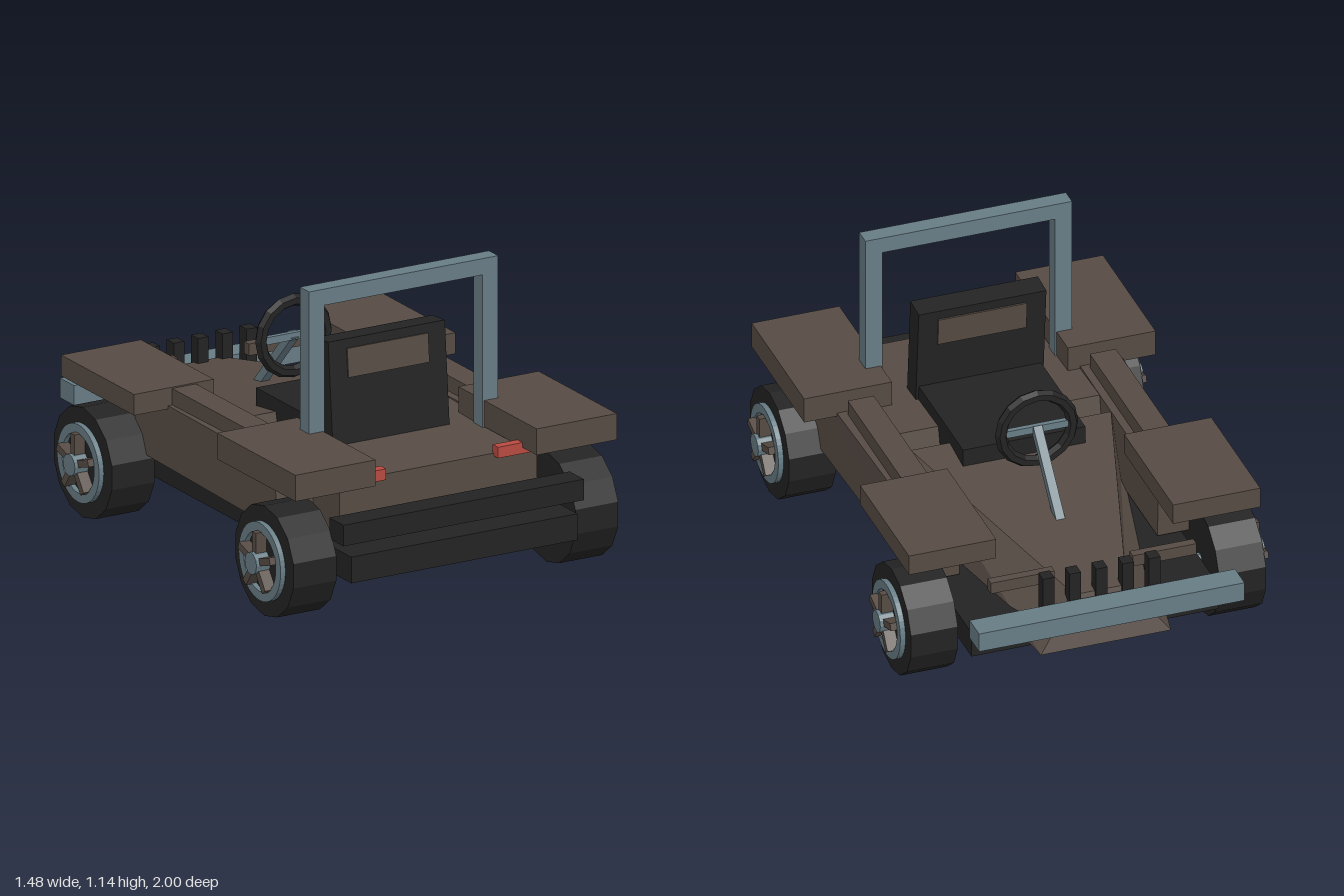
import * as THREE from 'three';

const mat = (name, color) => {
  const m = new THREE.MeshStandardMaterial({ color, flatShading: true });
  m.name = name;
  return m;
};

export function createModel() {
  const brown = mat('brown paint', 0x564b44);
  const black = mat('black rubber', 0x232323);
  const steel = mat('blue grey steel', 0x677c85);
  const red = mat('red lamp', 0xb84a40);
  const root = new THREE.Group();
  root.name = 'buggy';

  const add = (name, geo, material, parent = root) => {
    const m = new THREE.Mesh(geo, material);
    m.name = name;
    parent.add(m);
    return m;
  };
  // Box given by its extents on each axis
  const box = (name, material, [x0, x1], [y0, y1], [z0, z1], parent = root) => {
    const m = add(name, new THREE.BoxGeometry(x1 - x0, y1 - y0, z1 - z0), material, parent);
    m.position.set((x0 + x1) / 2, (y0 + y1) / 2, (z0 + z1) / 2);
    return m;
  };
  // Extents mirrored to the chosen side
  const side = (s, a, b) => (s > 0 ? [a, b] : [-b, -a]);
  // Six-sided solid between two cross-sections, a at the lower z
  const loft = (name, material, a, b) => {
    const ring = ({ bottom, top, y, z }) => [
      [bottom[0], y[0], z[0]], [bottom[1], y[0], z[0]],
      [top[1], y[1], z[1]], [top[0], y[1], z[1]]];
    const p = [...ring(a), ...ring(b)];
    const quads = [[4, 5, 6, 7], [3, 2, 1, 0], [0, 1, 5, 4], [7, 6, 2, 3], [1, 2, 6, 5], [4, 7, 3, 0]];
    const pos = [];
    for (const [i, j, k, l] of quads) for (const n of [i, j, k, i, k, l]) pos.push(...p[n]);
    const g = new THREE.BufferGeometry();
    g.setAttribute('position', new THREE.Float32BufferAttribute(pos, 3));
    g.computeVertexNormals();
    return add(name, g, material);
  };
  const both = (w) => [-w, w];

  // Chassis and bumpers
  box('chassis', black, both(0.475), [0.165, 0.265], [-0.825, 0.995]);
  box('rearBumper', black, both(0.505), [0.31, 0.39], [0.89, 0.99]);
  box('frontBumper', steel, both(0.51), [0.295, 0.37], [-1, -0.9]);

  // Wedge hood narrowing to the nose, and rear deck
  loft('hood', brown,
    { bottom: both(0.25), top: both(0.1), y: [0.19, 0.38], z: [-0.94, -0.88] },
    { bottom: both(0.44), top: both(0.385), y: [0.265, 0.505], z: [0.12, 0.06] });
  loft('rearDeck', brown,
    { bottom: both(0.415), top: both(0.385), y: [0.27, 0.505], z: [0.12, 0.18] },
    { bottom: both(0.415), top: both(0.415), y: [0.27, 0.484], z: [0.81, 0.81] });

  // Grille bars
  for (let i = -2; i <= 2; i++) {
    box('grilleBar', black, [i * 0.102 - 0.022, i * 0.102 + 0.022], [0.315, 0.48], [-0.895, -0.845]);
  }

  for (const s of [1, -1]) {
    // Body sides, sills and fenders
    loft('bodySide', brown,
      { bottom: side(s, 0.38, 0.53), top: side(s, 0.385, 0.525), y: [0.27, 0.5], z: [-0.44, -0.44] },
      { bottom: side(s, 0.38, 0.56), top: side(s, 0.385, 0.555), y: [0.27, 0.51], z: [0.62, 0.585] });
    box('sill', brown, side(s, 0.415, 0.515), [0.5, 0.565], [-0.21, 0.365]);
    box('rearFender', brown, side(s, 0.338, 0.675), [0.495, 0.595], [0.385, 0.937]);
    box('frontFender', brown, side(s, 0.34, 0.675), [0.49, 0.57], [-0.715, -0.2]);
    box('noseBracket', brown, side(s, 0.15, 0.395), [0.405, 0.45], [-0.81, -0.775]);
    box('tailLamp', red, side(s, 0.235, 0.39), [0.472, 0.514], [0.8, 0.838]);
    box('rollBarPost', steel, side(s, 0.332, 0.397), [0.48, 1.075], [0.502, 0.567]);
  }
  box('rollBarTop', steel, both(0.397), [1.075, 1.137], [0.502, 0.567]);

  // Seat with a slightly tilted back and a panel on each face
  box('seatCushion', black, both(0.235), [0.4, 0.555], [-0.08, 0.42]);
  const back = new THREE.Group();
  back.name = 'seatBack';
  back.position.set(0, 0.46, 0.437);
  back.rotation.x = -0.085;
  root.add(back);
  box('backrest', black, both(0.245), [0, 0.421], both(0.045), back);
  box('backrestPanelRear', brown, both(0.17), [0.277, 0.386], [0.044, 0.051], back);
  box('backrestPanelFront', brown, both(0.17), [0.277, 0.386], [-0.052, -0.044], back);

  // Steering wheel and column
  const wheelY = 0.675, wheelZ = -0.21;
  add('steeringWheel', new THREE.TorusGeometry(0.137, 0.023, 6, 16), black).position.set(0, wheelY, wheelZ);
  box('steeringSpoke', steel, both(0.13), [wheelY - 0.014, wheelY + 0.014], [wheelZ - 0.01, wheelZ + 0.01]);
  const top = new THREE.Vector3(0, wheelY + 0.005, wheelZ), foot = new THREE.Vector3(0, 0.42, -0.455);
  const column = add('steeringColumn', new THREE.BoxGeometry(0.034, 0.034, top.distanceTo(foot)), steel);
  column.position.copy(top).add(foot).multiplyScalar(0.5);
  column.lookAt(top);

  // Wheels and axles; the wheel axis runs along x
  const disc = (name, material, r, x0, x1, sides, parent) => {
    const g = new THREE.CylinderGeometry(r, r, x1 - x0, sides).rotateX(0).rotateZ(Math.PI / 2);
    const m = add(name, g, material, parent);
    m.position.x = (x0 + x1) / 2;
    return m;
  };
  const rimShape = new THREE.Shape().absarc(0, 0, 0.148, 0, Math.PI * 2);
  rimShape.holes.push(new THREE.Path().absarc(0, 0, 0.113, 0, Math.PI * 2, true));
  const rimGeo = new THREE.ExtrudeGeometry(rimShape, { depth: 0.025, bevelEnabled: false, curveSegments: 20 });
  rimGeo.rotateY(Math.PI / 2);

  for (const z of [0.73, -0.55]) {
    const axle = new THREE.Group();
    axle.name = z > 0 ? 'rearAxle' : 'frontAxle';
    axle.position.set(0, 0.21, z);
    root.add(axle);
    disc('axleRod', steel, 0.025, -0.52, 0.52, 10, axle);
    for (const s of [1, -1]) {
      const wheel = new THREE.Group();
      wheel.name = 'wheel';
      wheel.rotation.y = s > 0 ? 0 : Math.PI;
      axle.add(wheel);
      const tyre = disc('tyre', black, 0.21, 0.502, 0.682, 14, wheel);
      tyre.rotation.x = Math.PI / 2;
      add('rim', rimGeo, steel, wheel).position.x = 0.677;
      disc('hub', steel, 0.042, 0.67, 0.74, 12, wheel);
      for (let i = 0; i < 5; i++) {
        const arm = new THREE.Group();
        arm.name = 'spoke';
        arm.rotation.x = (i * Math.PI * 2) / 5;
        wheel.add(arm);
        box('spokeBar', brown, [0.68, 0.726], [0.03, 0.116], both(0.014), arm);
      }
    }
  }
  return root;
}
